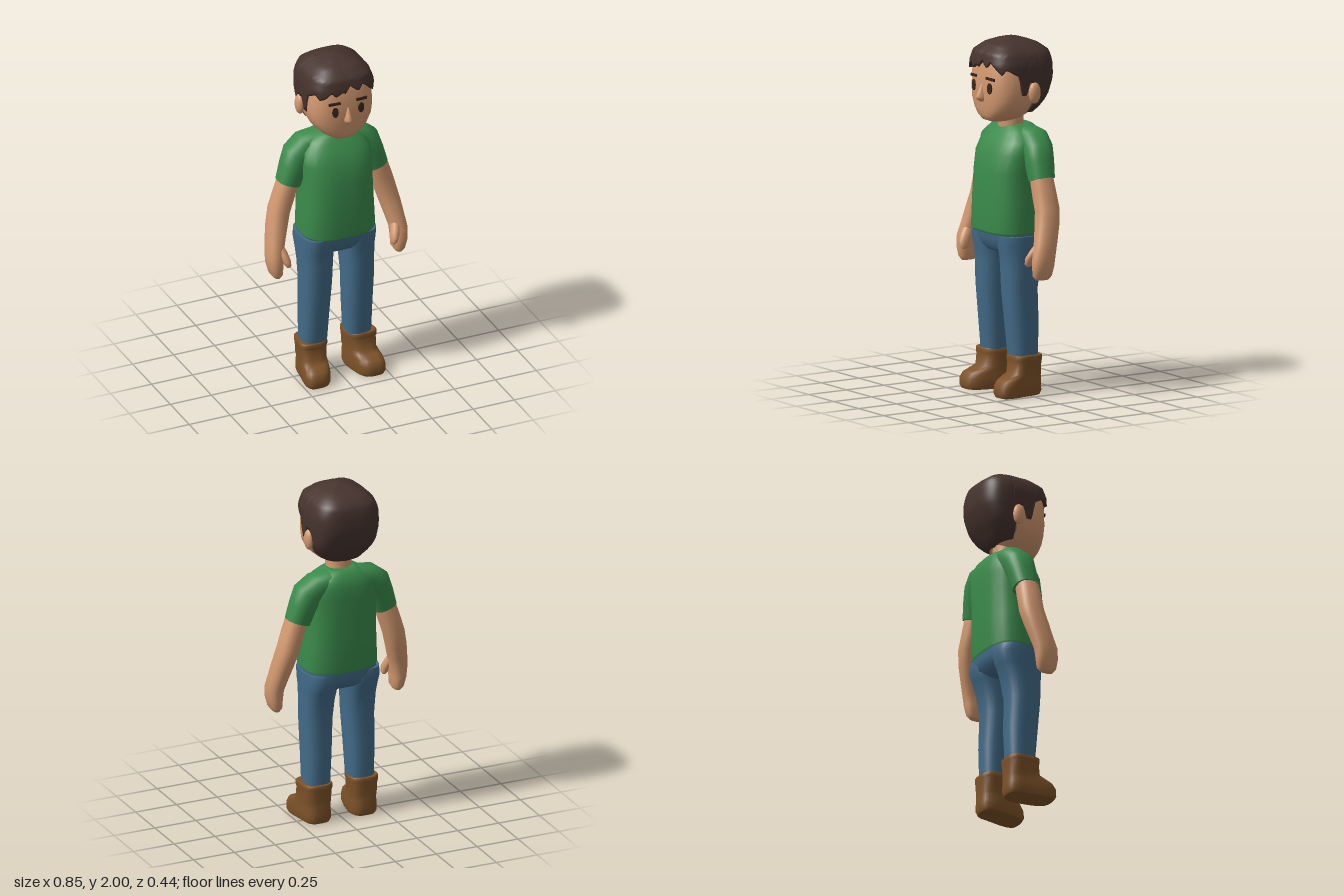
import * as THREE from 'three';

const paint = (name, color) => Object.assign(new THREE.MeshStandardMaterial({ color }), { name });

// Unit rounded-square outline at angle a, measured from the front towards +x
function outline(a, n) {
  const s = Math.sin(a), c = Math.cos(a);
  const r = Math.pow(Math.abs(s) ** n + Math.abs(c) ** n, -1 / n);
  return [s * r, c * r];
}

// Joins rows of points (bottom to top, each a closed loop) into a smooth skin with crisp end caps
function skin(rows) {
  const seg = rows[0].length, pos = rows.flat(2), idx = [];
  for (let j = 0; j < rows.length - 1; j++) {
    for (let i = 0; i < seg; i++) {
      const k = (i + 1) % seg, a = j * seg, b = a + seg;
      idx.push(a + i, a + k, b + k, a + i, b + k, b + i);
    }
  }
  [rows[0], rows[rows.length - 1]].forEach((row, top) => {
    const base = pos.length / 3;
    const mid = [0, 1, 2].map((d) => row.reduce((t, p) => t + p[d], 0) / seg);
    pos.push(...row.flat(), ...mid);
    for (let i = 0; i < seg; i++) {
      const k = (i + 1) % seg;
      if (top) idx.push(base + i, base + k, base + seg);
      else idx.push(base + k, base + i, base + seg);
    }
  });
  const g = new THREE.BufferGeometry();
  g.setAttribute('position', new THREE.Float32BufferAttribute(pos, 3));
  g.setIndex(idx);
  g.computeVertexNormals();
  return g;
}

// Ring: [x, y, z, half width, half depth, sideways tilt]; side mirrors the rings in x
function loft(rings, n = 2.6, side = 1, seg = 32) {
  return skin(rings.map(([x, y, z, w, d, t = 0]) => Array.from({ length: seg }, (_, i) => {
    const [u, v] = outline((i / seg) * Math.PI * 2, n);
    return [side * x + u * w * Math.cos(t), y + u * w * Math.sin(t) * side, z + v * d];
  })));
}

// Upright ring from its height, half width, front z and back z
const upright = (x) => ([y, w, zf, zb]) => [x, y, (zf + zb) / 2, w, (zf - zb) / 2];

// Straight-line lookup in a table sorted by its first column
function lookup(table, x) {
  let i = 1;
  while (i < table.length - 1 && table[i][0] < x) i++;
  const a = table[i - 1], b = table[i];
  const t = THREE.MathUtils.clamp((x - a[0]) / (b[0] - a[0]), 0, 1);
  return a.slice(1).map((v, k) => v + (b[k + 1] - v) * t);
}

// Hair cap whose lower edge follows a hairline given as [degrees from front, height]
function hairGeometry() {
  const profile = [
    [1.56, 0.10, 0.16, -0.11], [1.62, 0.165, 0.18, -0.15], [1.67, 0.19, 0.19, -0.183],
    [1.77, 0.198, 0.194, -0.217], [1.86, 0.197, 0.192, -0.214], [1.92, 0.175, 0.178, -0.2],
    [1.965, 0.12, 0.12, -0.14], [1.99, 0.05, 0.05, -0.06], [2, 0.002, 0, -0.004],
  ];
  const hairline = [
    [-180, 1.565], [-109, 1.58], [-105, 1.75], [-90, 1.76], [-87, 1.69], [-77, 1.69], [-69, 1.80],
    [-60, 1.82], [-52, 1.84], [-45, 1.81], [-37, 1.82], [-28, 1.855], [-22, 1.825], [-10, 1.85],
    [-7, 1.835], [3, 1.88], [8, 1.865], [17, 1.84], [24, 1.875], [31, 1.86], [38, 1.835],
    [45, 1.81], [52, 1.84], [60, 1.82], [69, 1.80], [77, 1.69], [87, 1.69], [90, 1.76],
    [105, 1.75], [109, 1.58], [180, 1.565],
  ];
  const seg = 120, steps = 18, rows = [];
  for (let j = -1; j <= steps; j++) {
    const rise = Math.sin((Math.max(j, 0) / steps) * Math.PI / 2);
    const inset = j < 0 ? 0.75 : 1;
    rows.push(Array.from({ length: seg }, (_, i) => {
      const deg = (i / seg) * 360 - 180;
      const [edge] = lookup(hairline, deg);
      const y = edge + (2 - edge) * rise;
      const [w, zf, zb] = lookup(profile, y);
      const [u, v] = outline(deg * Math.PI / 180, 3.5);
      return [u * w * inset, y, (zf + zb) / 2 + v * (zf - zb) / 2 * inset];
    }));
  }
  return skin(rows);
}

export function createModel() {
  const skinTone = paint('skin', 0xd2986f), green = paint('shirt green', 0x3a8a4b);
  const denim = paint('denim blue', 0x426b88), leather = paint('boot brown', 0x7d5228);
  const brown = paint('hair brown', 0x46332d), dark = paint('eye brown', 0x3b271e);
  const model = new THREE.Group();
  model.name = 'standingBoy';
  const add = (name, geometry, material) => {
    const mesh = new THREE.Mesh(geometry, material);
    mesh.name = name;
    model.add(mesh);
    return mesh;
  };

  // Head, neck, nose and hair
  add('head', loft([
    [1.53, 0.05, 0.13, -0.02], [1.54, 0.075, 0.157, -0.04], [1.565, 0.115, 0.17, -0.07],
    [1.6, 0.153, 0.177, -0.09], [1.65, 0.18, 0.182, -0.12], [1.71, 0.19, 0.185, -0.15],
    [1.85, 0.186, 0.183, -0.18], [1.92, 0.14, 0.14, -0.15],
  ].map(upright(0)), 3), skinTone);
  add('neck', loft([
    [1.42, 0.08, 0.05, -0.09], [1.5, 0.071, 0.058, -0.078], [1.62, 0.071, 0.06, -0.075],
  ].map(upright(0)), 2.3), skinTone);
  add('nose', loft([
    [0, 1.645, 0.172, 0.014, 0.02], [0, 1.66, 0.178, 0.025, 0.036], [0, 1.675, 0.181, 0.025, 0.039],
    [0, 1.70, 0.179, 0.017, 0.027], [0, 1.745, 0.176, 0.009, 0.011],
  ], 2, 1, 16), skinTone);
  add('hair', hairGeometry(), brown);

  // Shirt body and hips
  add('shirtBody', loft([
    [0.905, 0.206, 0.165, -0.15], [0.92, 0.216, 0.175, -0.16], [1.1, 0.207, 0.172, -0.165],
    [1.25, 0.202, 0.164, -0.167], [1.35, 0.21, 0.144, -0.168], [1.42, 0.2, 0.11, -0.165],
    [1.47, 0.155, 0.072, -0.152], [1.5, 0.105, 0.05, -0.125], [1.508, 0.078, 0.035, -0.112],
  ].map(upright(0)), 3), green);
  add('hips', loft([
    [0.785, 0.07, 0.07, -0.07], [0.8, 0.14, 0.105, -0.105], [0.825, 0.195, 0.128, -0.135],
    [0.87, 0.212, 0.145, -0.152], [0.94, 0.208, 0.153, -0.152],
  ].map(upright(0)), 3), denim);

  for (const side of [1, -1]) {
    const label = side > 0 ? 'left' : 'right';

    // Face details
    const ear = add(label + 'Ear', new THREE.SphereGeometry(1, 20, 14), skinTone);
    ear.scale.set(0.026, 0.06, 0.037);
    ear.position.set(side * 0.194, 1.7, -0.04);
    const eye = add(label + 'Eye', new THREE.CylinderGeometry(0.5, 0.5, 1, 16).rotateX(Math.PI / 2), dark);
    eye.scale.set(0.036, 0.062, 0.009);
    eye.position.set(side * 0.078, 1.728, 0.182);
    eye.rotation.y = side * 0.12;
    const brow = add(label + 'Eyebrow', new THREE.BoxGeometry(0.068, 0.015, 0.009), dark);
    brow.position.set(side * 0.082, 1.782, 0.181);
    brow.rotation.set(0, side * 0.14, side * -0.06);

    // Sleeve, arm with hand, thumb
    add(label + 'Sleeve', loft([
      [0.265, 1.222, -0.04, 0.069, 0.071, 0.33], [0.236, 1.31, -0.045, 0.074, 0.08, 0.4],
      [0.203, 1.38, -0.05, 0.086, 0.086, 0.6], [0.15, 1.43, -0.06, 0.075, 0.085, 0.95],
      [0.08, 1.45, -0.06, 0.058, 0.075, 1.3],
    ], 2.4, side), green);
    add(label + 'Arm', loft([
      [0.37, 0.682, 0.027, 0.018, 0.04], [0.372, 0.705, 0.027, 0.034, 0.058],
      [0.378, 0.76, 0.026, 0.043, 0.066], [0.378, 0.82, 0.02, 0.047, 0.068, 0.1],
      [0.364, 0.89, 0, 0.051, 0.068, 0.15], [0.346, 0.97, -0.02, 0.056, 0.07, 0.2],
      [0.323, 1.06, -0.038, 0.059, 0.069, 0.25], [0.292, 1.16, -0.036, 0.06, 0.066, 0.3],
      [0.26, 1.26, -0.035, 0.058, 0.062, 0.33],
    ], 2.4, side), skinTone);
    add(label + 'Thumb', loft([
      [0.322, 0.755, 0.083, 0.009, 0.014], [0.323, 0.768, 0.083, 0.018, 0.026],
      [0.33, 0.8, 0.078, 0.023, 0.033], [0.342, 0.84, 0.055, 0.025, 0.035],
      [0.355, 0.89, 0.025, 0.02, 0.03],
    ], 2.2, side, 20), skinTone);

    // Trouser leg
    add(label + 'Leg', loft([
      [0.2, 0.073, 0.078, -0.078], [0.4, 0.079, 0.097, -0.085], [0.6, 0.086, 0.115, -0.078],
      [0.72, 0.09, 0.119, -0.1], [0.79, 0.094, 0.124, -0.125], [0.85, 0.1, 0.138, -0.148],
      [0.9, 0.1, 0.14, -0.14],
    ].map(upright(0.133 - 0.012)).map(([x, y, ...r]) => [x + 0.017 * (1 - y), y, ...r]), 2.8, side), denim);

    // Boot, its toe sheared outwards
    const boot = loft([
      [0, 0.074, 0.182, -0.085], [0.02, 0.081, 0.193, -0.095], [0.06, 0.081, 0.191, -0.094],
      [0.09, 0.078, 0.172, -0.092], [0.11, 0.077, 0.13, -0.091], [0.125, 0.078, 0.095, -0.091],
      [0.19, 0.081, 0.087, -0.092], [0.2, 0.085, 0.09, -0.095], [0.222, 0.085, 0.09, -0.095],
      [0.228, 0.08, 0.085, -0.09],
    ].map(upright(0.14)), 3.5, side);
    const p = boot.attributes.position;
    for (let i = 0; i < p.count; i++) p.setX(i, p.getX(i) + side * 0.17 * Math.max(0, p.getZ(i)));
    boot.computeVertexNormals();
    add(label + 'Boot', boot, leather);
  }
  return model;
}
